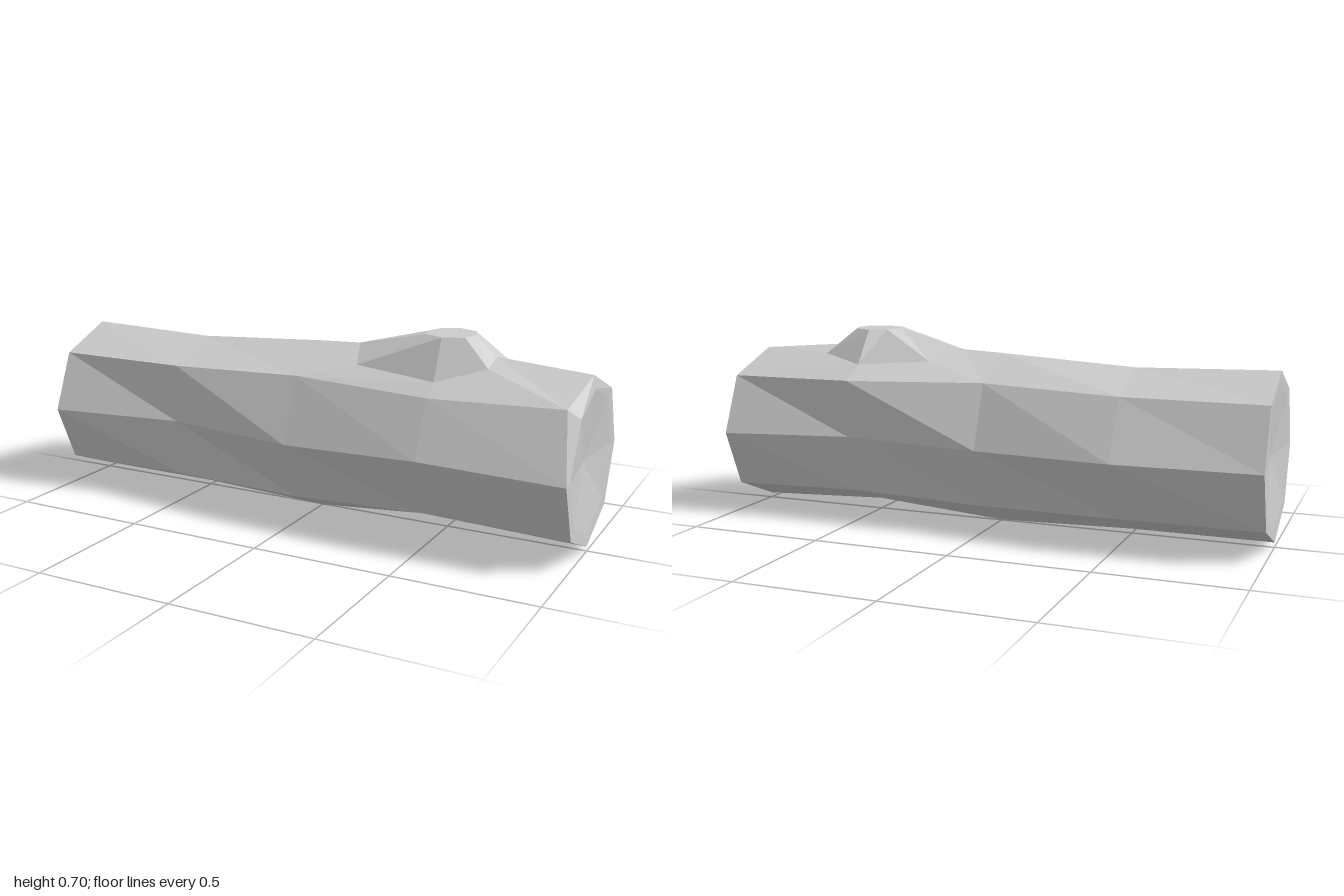
import * as THREE from 'three';

const bark = new THREE.MeshStandardMaterial({ color: 0xcccccc, flatShading: true });
bark.name = 'pale grey';

// Joins two closed rings with quads, skipping the listed sides
function strip(out, a, b, skip = []) {
  a.forEach((p, k) => {
    if (skip.includes(k)) return;
    const n = (k + 1) % a.length;
    out.push(p, a[n], b[n], p, b[n], b[k]);
  });
}

// Fills a ring with a fan around a centre point
function fan(out, ring, centre) {
  ring.forEach((p, k) => out.push(p, ring[(k + 1) % ring.length], centre));
}

function makeMesh(name, points) {
  const geometry = new THREE.BufferGeometry().setFromPoints(points);
  geometry.computeVertexNormals();
  const mesh = new THREE.Mesh(geometry, bark);
  mesh.name = name;
  return mesh;
}

const V = (x, y, z) => new THREE.Vector3(x, y, z);

// Sections as [y, z], running top, front, bottom, back
const sections = [
  [-1, [[0.607, 0], [0.52, 0.21], [0.312, 0.297], [0.104, 0.21], [0.017, 0], [0.104, -0.208], [0.312, -0.295], [0.52, -0.208]]],
  [-0.5, [[0.595, 0], [0.52, 0.21], [0.312, 0.222], [0.102, 0.2], [0.016, 0], [0.102, -0.208], [0.312, -0.317], [0.52, -0.208]]],
  [0, [[0.625, 0], [0.537, 0.205], [0.31, 0.297], [0.097, 0.213], [0, 0.005], [0.1, -0.2], [0.31, -0.265], [0.537, -0.18]]],
  [0.5, [[0.64, 0], [0.52, 0.225], [0.328, 0.315], [0.115, 0.21], [0.04, 0], [0.115, -0.2], [0.325, -0.257], [0.53, -0.258]]],
  [1, [[0.607, 0.005], [0.53, 0.19], [0.312, 0.3], [0.104, 0.21], [0.017, 0.005], [0.104, -0.205], [0.312, -0.292], [0.52, -0.205]]],
];

export function createModel() {
  const group = new THREE.Group();
  group.name = 'log';
  const rings = sections.map(([x, pts]) => pts.map(([y, z]) => V(x, y, z)));
  rings[4][1].x = 0.96; // chipped front corner
  rings[4][0].x = 0.99;

  // Trunk, left open on top where the knot grows
  const trunk = [];
  for (let i = 0; i < 4; i++) strip(trunk, rings[i], rings[i + 1], i < 2 ? [] : [0, 7]);
  group.add(makeMesh('trunk', trunk));

  // Slightly dished cut ends
  for (const side of [-1, 1]) {
    const outer = side > 0 ? rings[4] : [...rings[0]].reverse();
    const centre = V(side * 0.97, 0.312, 0.003);
    const inner = outer.map((p) => V(side * 0.998, 0.312 + (p.y - 0.312) * 0.85, p.z * 0.85));
    const face = [];
    strip(face, outer, inner);
    fan(face, inner, centre);
    group.add(makeMesh(side > 0 ? 'leftCutEnd' : 'rightCutEnd', face));
  }

  // Bark around the knot, from the trunk opening to the knot base
  const [, , mid, knotSection, end] = rings;
  const opening = [mid[0], mid[1], knotSection[1], end[1], end[0], end[7], knotSection[7], mid[7]];
  const base = [
    V(0.15, 0.632, 0.003), V(0.2, 0.582, 0.13), V(0.5, 0.562, 0.167), V(0.66, 0.607, 0.088),
    V(0.66, 0.633, 0.005), V(0.675, 0.605, -0.085), V(0.5, 0.579, -0.165), V(0.24, 0.595, -0.105),
  ];
  const shoulder = [];
  strip(shoulder, opening, base);
  group.add(makeMesh('knotShoulder', shoulder));

  // Knot: flared stub with a flat sawn top
  const cap = [
    [0.41, 0.012], [0.43, 0.07], [0.497, 0.098], [0.57, 0.07],
    [0.585, 0.005], [0.56, -0.058], [0.495, -0.085], [0.435, -0.055],
  ].map(([x, z]) => V(x, 0.7, z));
  const knot = [];
  strip(knot, base, cap);
  fan(knot, cap, V(0.5, 0.7, 0.005));
  group.add(makeMesh('knot', knot));

  return group;
}
